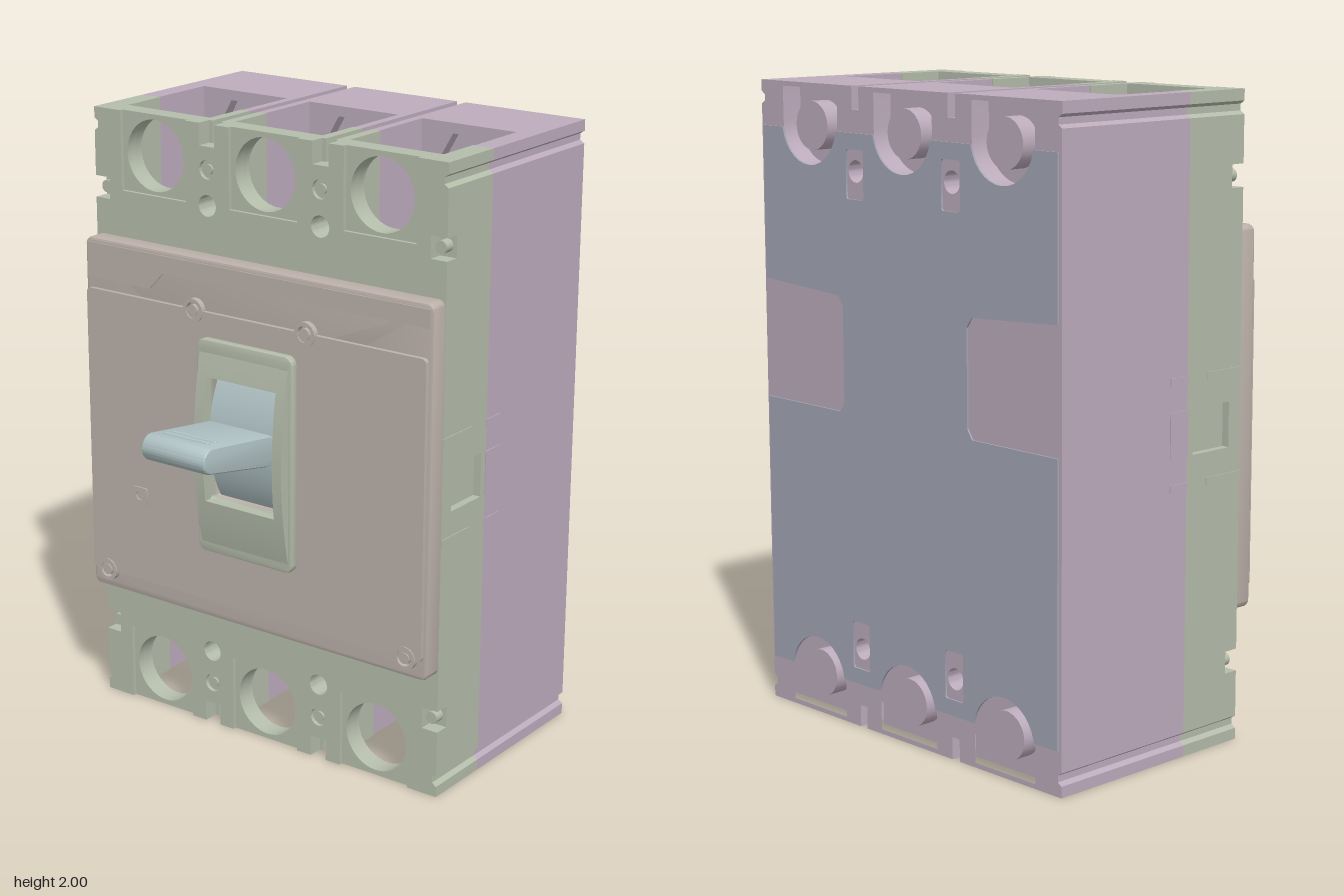
import * as THREE from 'three';
import { toCreasedNormals } from 'three/addons/utils/BufferGeometryUtils.js';

const mat = (color) => new THREE.MeshStandardMaterial({ color });
const GREEN = mat(0xb4bcaa), LILAC = mat(0xbcabbc), BROWN = mat(0xbbb0a9);
const BLUE = mat(0xb0c2c4), SLATE = mat(0xa3a6b4);
const H = 0.667, POLES = [-0.43, 0, 0.43], SLOT = 0.215;

const add = (parent, name, geo, material) => {
  const mesh = new THREE.Mesh(geo, material);
  mesh.name = name;
  parent.add(mesh);
  return mesh;
};

const toShape = (pts) => new THREE.Shape(pts.map(([x, y]) => new THREE.Vector2(x, y)));
const circle = (x, y, r, n = 32, start = 0) => new THREE.Path(
  Array.from({ length: n }, (_, i) => {
    const a = start + (i / n) * Math.PI * 2;
    return new THREE.Vector2(x + r * Math.cos(a), y + r * Math.sin(a));
  }));

function roundRect(x0, y0, x1, y1, r) {
  const s = new THREE.Shape();
  s.absarc(x1 - r, y1 - r, r, 0, Math.PI / 2);
  s.absarc(x0 + r, y1 - r, r, Math.PI / 2, Math.PI);
  s.absarc(x0 + r, y0 + r, r, Math.PI, Math.PI * 1.5);
  s.absarc(x1 - r, y0 + r, r, Math.PI * 1.5, Math.PI * 2);
  s.closePath();
  return s;
}

// Slab between two depths
function slab(parent, name, shape, z0, z1, material, holes = [], bevel = 0) {
  shape.holes.push(...holes);
  const geo = new THREE.ExtrudeGeometry(shape, {
    depth: z1 - z0 - bevel, bevelEnabled: bevel > 0, bevelSize: bevel, bevelThickness: bevel,
    bevelOffset: -bevel, bevelSegments: 2, curveSegments: 10,
  });
  geo.translate(0, 0, z0);
  return add(parent, name, toCreasedNormals(geo, 0.5), material);
}

// Side profile (z, y) swept across x
function sweepX(parent, name, shape, x0, x1, material, bevel = 0) {
  const geo = new THREE.ExtrudeGeometry(shape, {
    depth: x1 - x0 - 2 * bevel, bevelEnabled: bevel > 0, bevelSize: bevel, bevelThickness: bevel,
    bevelOffset: -bevel, bevelSegments: 3, curveSegments: 16,
  });
  geo.rotateY(-Math.PI / 2);
  geo.translate(x1 - bevel, 0, 0);
  return add(parent, name, toCreasedNormals(geo, 0.5), material);
}

const slotPts = (s) => [[SLOT - s, 1], [SLOT - s, 0.93], [SLOT + s, 0.93], [SLOT + s, 1]];
const edgePts = [[H, 1], [H, 0.965], [H - 0.015, 0.955], [H - 0.015, 0.935], [H, 0.925]];
const mirrorV = (pts) => [...pts, ...pts.map(([x, y]) => [x, -y]).reverse()];

// Case cross-section about mid height, mirrored from one quarter
function caseShape({ pocket = 0, floor = 0.66, slot = 0.016, corner = false, side = false } = {}) {
  const q = [];
  if (pocket) q.push([pocket, floor], [pocket, 1]);
  q.push(...slotPts(slot));
  if (pocket) q.push([0.43 - pocket, 1], [0.43 - pocket, floor], [0.43 + pocket, floor], [0.43 + pocket, 1]);
  q.push(...edgePts);
  if (corner) q.push([H, 0.78], [0.61, 0.78], [0.61, 0.71], [H, 0.71]);
  if (side) q.push([H, 0.07], [H - 0.025, 0.07]);
  const right = mirrorV(q);
  return toShape([...right, ...right.map(([x, y]) => [-x, -y])]);
}

const ends = (fn) => POLES.flatMap((x) => [1, -1].map((s) => fn(x, s)));
const mountHoles = () => [1, -1].flatMap((a) => [1, -1].map((b) => circle(a * SLOT, b * 0.745, 0.034)));

// Arched pocket on the back, open side toward the end of the case
function arch(x, s, r) {
  const p = [];
  for (let i = 0; i <= 20; i++) {
    const a = Math.PI + (i / 20) * Math.PI;
    p.push(new THREE.Vector2(x + r * Math.cos(a), s * (0.88 + r * Math.sin(a))));
  }
  p.push(new THREE.Vector2(x + r, s * 0.985), new THREE.Vector2(x - r, s * 0.985));
  return new THREE.Path(p);
}

function buildCase() {
  const g = new THREE.Group();
  g.name = 'case';
  g.position.y = 1;

  // Rear wall with arched back recesses and hexagonal bolt seats
  slab(g, 'rearWall', caseShape(), -0.597, -0.53, LILAC, [...mountHoles(), ...ends((x, s) => arch(x, s, 0.13))]);
  slab(g, 'rearCore', caseShape(), -0.53, -0.35, LILAC, mountHoles());
  slab(g, 'boltSeats', caseShape(), -0.35, -0.31, LILAC,
    [...mountHoles(), ...ends((x, s) => circle(x, s * 0.87, 0.112, 6))]);
  ends((x, s) => {
    for (const [name, r, z, d] of [['backBoss', 0.075, -0.56, 0.06], ['boltHead', 0.055, -0.34, 0.02]]) {
      const c = new THREE.CylinderGeometry(r, r, d, 32).rotateX(Math.PI / 2);
      add(g, name, c, LILAC).position.set(x, s * 0.87, z);
    }
  });

  // Columns between the through channels
  const inner = mirrorV([[0.06, 0.66], [0.17, 0.66], [0.17, 1], ...slotPts(0.016), [0.26, 1], [0.26, 0.66], [0.37, 0.66]]);
  const outer = mirrorV([[0.49, 0.66], [0.6, 0.66], [0.6, 1], ...edgePts]);
  for (const m of [1, -1]) {
    const flip = (pts) => toShape(pts.map(([x, y]) => [m * x, y]));
    slab(g, 'innerColumn', flip(inner), -0.31, -0.08, LILAC, [1, -1].map((s) => circle(m * SLOT, s * 0.745, 0.034)));
    slab(g, 'outerColumn', flip(outer), -0.31, -0.08, LILAC);
    add(g, 'channelBlock', new THREE.BoxGeometry(0.12, 1.3, 0.08), GREEN).position.set(m * 0.43, 0, -0.12);
  }

  // Front half, with terminal pockets, side latch recesses and bolt access holes
  const access = () => [...mountHoles(), ...ends((x, s) => circle(x, s * 0.87, 0.114, 40))];
  slab(g, 'frontHalf', caseShape({ pocket: 0.165 }), -0.08, -0.055, GREEN, mountHoles());
  slab(g, 'frontHalf', caseShape({ pocket: 0.165, side: true }), -0.055, 0.075, GREEN, mountHoles());
  slab(g, 'frontWall', caseShape({ side: true }), 0.075, 0.105, GREEN, access());
  slab(g, 'frontWall', caseShape({ corner: true, slot: 0.03 }), 0.105, 0.142, GREEN, access());
  const rings = [1, -1].flatMap((a) => [1, -1].map((b) => circle(a * SLOT, b * 0.858, 0.03)));
  slab(g, 'frontFace', caseShape({ pocket: 0.13, floor: 0.745, corner: true, slot: 0.03 }),
    0.142, 0.155, GREEN, [...mountHoles(), ...rings]);

  // Small fixings in the corner notches and beside the slots, and side ribs
  for (const a of [1, -1]) {
    for (const b of [1, -1]) {
      const pin = (name, r, x, y, z) => {
        add(g, name, new THREE.CylinderGeometry(r, r, 0.04, 24).rotateX(Math.PI / 2), GREEN).position.set(a * x, b * y, z);
      };
      pin('cornerPin', 0.02, 0.635, 0.745, 0.12);
      pin('markerPin', 0.016, SLOT, 0.858, 0.13);
      add(g, 'sideRib', new THREE.BoxGeometry(0.006, 0.024, 0.15), GREEN).position.set(a * H, b * 0.16, 0.08);
      add(g, 'sideRib', new THREE.BoxGeometry(0.006, 0.024, 0.075), LILAC).position.set(a * H, b * 0.16, -0.115);
    }
    add(g, 'sideLatch', new THREE.BoxGeometry(0.006, 0.14, 0.075), LILAC).position.set(a * H, 0, -0.115);
  }

  // Back plate with side tabs, bolt arches and mounting windows cut out
  const w = 0.655, t = 0.28, pts = [[-w, -0.86]];
  const scallop = (s, dir) => {
    const half = Math.sqrt(0.13 ** 2 - 0.02 ** 2);
    for (const x of POLES.map((p) => p * dir)) {
      for (let i = 0; i <= 16; i++) {
        const u = -Math.cos((i / 16) * Math.PI) * half;
        pts.push([x + dir * u, s * (0.88 - Math.sqrt(Math.max(0, 0.13 ** 2 - u * u)))]);
      }
    }
  };
  scallop(-1, 1);
  pts.push([w, -0.86], [w, 0], [t + 0.02, 0], [t, 0.03], [t, 0.33], [t + 0.02, 0.36], [w, 0.38], [w, 0.86]);
  scallop(1, -1);
  pts.push([-w, 0.86], [-w, 0.38], [-t - 0.02, 0.36], [-t, 0.33], [-t, 0.03], [-t - 0.02, 0], [-w, 0]);
  const windows = [1, -1].flatMap((a) => [1, -1].map((b) =>
    roundRect(a * SLOT - 0.04, b * 0.735 - 0.075, a * SLOT + 0.04, b * 0.735 + 0.075, 0.008)));
  slab(g, 'backPlate', toShape(pts), -0.603, -0.596, SLATE, windows);
  return g;
}

function buildCover() {
  const g = new THREE.Group();
  g.name = 'cover';
  const opening = () => roundRect(-0.135, 0.835, 0.135, 1.24, 0.01);
  slab(g, 'coverBase', roundRect(-0.665, 0.41, 0.665, 1.595, 0.025), 0.155, 0.215, BROWN, [opening()], 0.008);
  const screws = [[SLOT, 1.43], [-SLOT, 1.43], [0.593, 0.477], [-0.593, 0.477]];
  slab(g, 'coverPanel', roundRect(-0.652, 0.475, 0.652, 1.432, 0.015), 0.215, 0.23, BROWN, [opening()]);
  slab(g, 'labelStrip', toShape([[-0.655, 1.465], [-0.4, 1.465], [-0.345, 1.522], [0.655, 1.522], [0.655, 1.58], [-0.655, 1.58]]),
    0.214, 0.219, BROWN);
  for (const [x, y] of screws) {
    slab(g, 'screwCollar', new THREE.Shape(circle(x, y, 0.038).getPoints()), 0.2, 0.234, BROWN, [circle(x, y, 0.026)]);
    add(g, 'screw', new THREE.CylinderGeometry(0.018, 0.018, 0.03, 24).rotateX(Math.PI / 2), BROWN).position.set(x, y, 0.219);
  }
  // Test button
  slab(g, 'testButtonFrame', roundRect(-0.475, 0.742, -0.415, 0.798, 0.006), 0.228, 0.235, BROWN, [circle(-0.445, 0.77, 0.015)]);
  return g;
}

function buildSwitch() {
  const g = new THREE.Group();
  g.name = 'switch';
  // Bezel: rounded frame plus bowed face around the opening
  slab(g, 'bezelFrame', roundRect(-0.185, 0.655, 0.185, 1.355, 0.03), 0.228, 0.255, GREEN,
    [roundRect(-0.135, 0.835, 0.135, 1.24, 0.01)], 0.006);
  const R = 1.42, bow = (y0, y1) => {
    const p = [[0.23, y1], [0.23, y0]];
    for (let i = 0; i <= 14; i++) {
      const y = y0 + ((y1 - y0) * i) / 14;
      p.push([0.29 - R + Math.sqrt(R * R - (y - 1) ** 2), y]);
    }
    return toShape(p);
  };
  for (const [x0, x1] of [[-0.17, -0.135], [0.135, 0.17]]) sweepX(g, 'bezelCheek', bow(0.67, 1.335), x0, x1, GREEN);
  sweepX(g, 'bezelLower', bow(0.67, 0.835), -0.135, 0.135, GREEN);
  sweepX(g, 'bezelUpper', bow(1.24, 1.335), -0.135, 0.135, GREEN);

  // Curved slide behind the opening
  const drum = new THREE.Shape();
  drum.absarc(-0.14, 1.037, 0.4, -0.53, 0.53);
  drum.closePath();
  sweepX(g, 'slide', drum, -0.132, 0.132, BLUE);

  // Tapered lever, with grip ribs above and below
  const lever = new THREE.Shape(), tilt = 0.15;
  lever.absarc(0.558, 1.1, 0.042, -Math.PI / 2 + tilt, Math.PI / 2 + tilt);
  lever.absarc(0.29, 1.055, 0.05, Math.PI / 2 + tilt, Math.PI * 1.5 + tilt);
  lever.closePath();
  sweepX(g, 'lever', lever, -0.122, 0.122, BLUE, 0.01);
  for (const z of [0.495, 0.53]) {
    for (const s of [1, -1]) {
      const rib = new THREE.CapsuleGeometry(0.007, 0.16, 4, 10).rotateZ(Math.PI / 2);
      add(g, 'gripRib', rib, BLUE).position.set(0, 1.1 + (z - 0.558) * 0.168 + s * 0.043, z);
    }
  }
  return g;
}

export function createModel() {
  const model = new THREE.Group();
  model.name = 'circuitBreaker';
  model.add(buildCase(), buildCover(), buildSwitch());
  return model;
}
